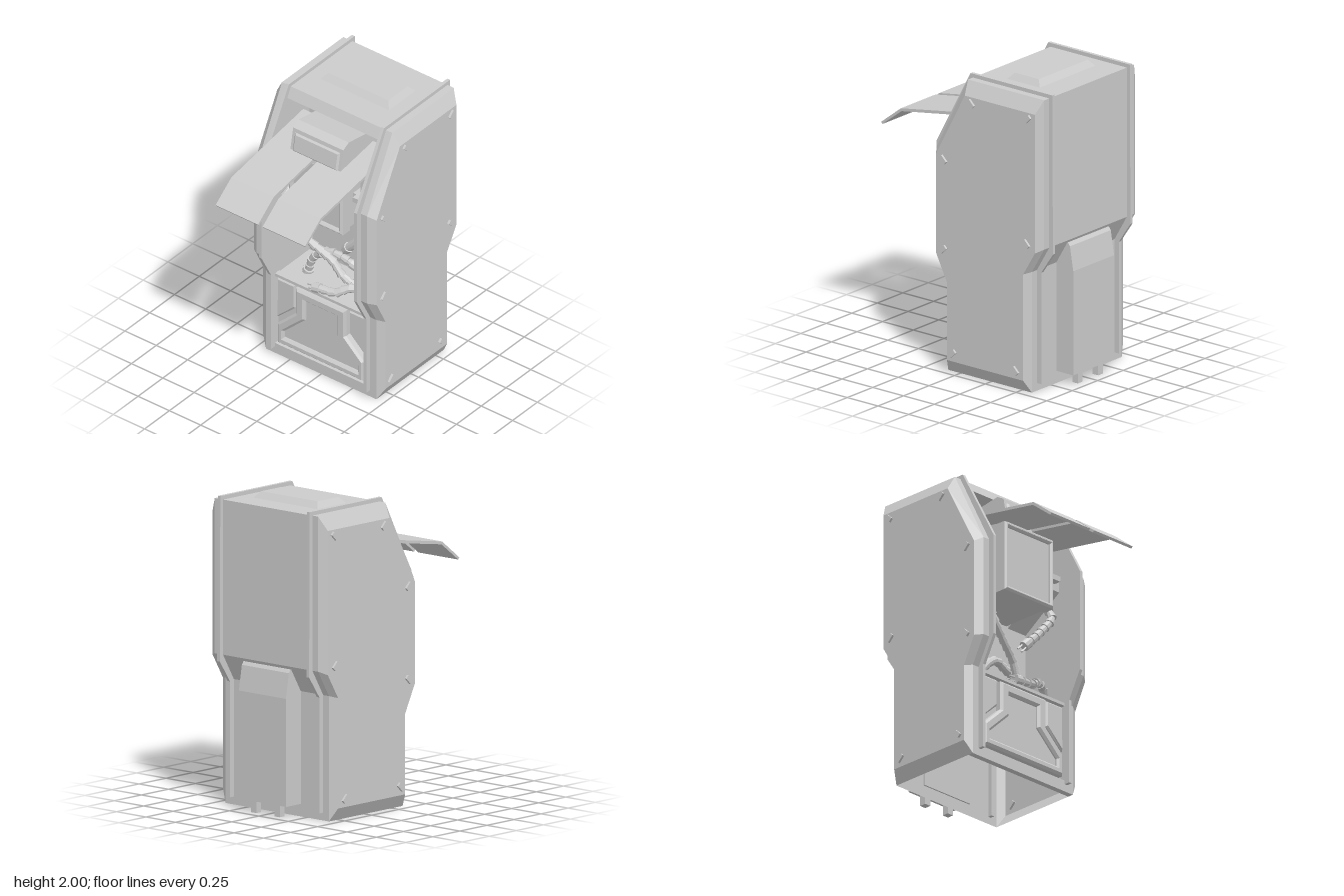
import * as THREE from 'three';

// Side outlines as [z, y], from the front foot up and round to the back foot
const BODY = [[0.10, 0], [0.10, 0.61], [0.195, 0.79], [0.195, 1.46], [-0.06, 1.96], [-0.68, 1.96], [-0.68, 0.97], [-0.58, 0.8], [-0.58, 0]];
const FACE = [[0.07, 0.085], [0.07, 0.6], [0.16, 0.78], [0.16, 1.43], [-0.075, 1.87], [-0.645, 1.87], [-0.645, 0.95], [-0.55, 0.79], [-0.55, 0.085]];
const RAIL = [[0.14, 0.05], [0.14, 0.62], [0.235, 0.8], [0.235, 1.48], [-0.04, 1.985], [-0.705, 1.985], [-0.71, 0.93], [-0.615, 0.79], [-0.615, 0.05]];
const BACK_Z = -0.25, WALL_X = 0.37;

const solid = new THREE.MeshStandardMaterial({ color: 0xcccccc, flatShading: true });
const shell = new THREE.MeshStandardMaterial({ color: 0xcccccc, flatShading: true, side: THREE.DoubleSide });

const toShape = pts => new THREE.Shape(pts.map(p => new THREE.Vector2(p[0], p[1])));
const mirrorX = pts => pts.map(([x, y]) => [-x, y]).reverse();

export function createModel() {
  const root = new THREE.Group();
  root.name = 'cabinet';

  function add(name, geo, mat = solid, parent = root) {
    const m = new THREE.Mesh(geo, mat);
    m.name = name;
    parent.add(m);
    return m;
  }
  function box(name, x0, x1, y0, y1, z0, z1) {
    const m = add(name, new THREE.BoxGeometry(x1 - x0, y1 - y0, z1 - z0));
    m.position.set((x0 + x1) / 2, (y0 + y1) / 2, (z0 + z1) / 2);
    return m;
  }
  // Side outline [z, y] extruded across x
  function prism(name, pts, x0, x1) {
    const g = new THREE.ExtrudeGeometry(toShape(pts), { depth: x1 - x0, bevelEnabled: false });
    g.rotateY(-Math.PI / 2).translate(x1, 0, 0);
    return add(name, g);
  }
  // Front outline [x, y] extruded towards +z with an optional bevel and hole
  function plate(name, pts, z0, z1, bevel = 0, hole = null) {
    const s = toShape(pts);
    if (hole) s.holes.push(toShape(hole));
    const g = new THREE.ExtrudeGeometry(s, {
      depth: z1 - z0 - bevel, bevelEnabled: bevel > 0, bevelSize: bevel,
      bevelThickness: bevel, bevelOffset: -bevel, bevelSegments: 1
    });
    return add(name, g.translate(0, 0, z0), solid);
  }
  // Skin between two [z, y] paths lying at xa and xb
  function skin(name, a, xa, b, xb, closed = false) {
    const pos = [];
    const n = a.length;
    for (let i = 0; i < (closed ? n : n - 1); i++) {
      const j = (i + 1) % n;
      const A = [xa, a[i][1], a[i][0]], B = [xa, a[j][1], a[j][0]];
      const C = [xb, b[j][1], b[j][0]], D = [xb, b[i][1], b[i][0]];
      pos.push(...A, ...C, ...B, ...A, ...D, ...C);
    }
    const g = new THREE.BufferGeometry();
    g.setAttribute('position', new THREE.Float32BufferAttribute(pos, 3));
    g.computeVertexNormals();
    return add(name, g, shell);
  }
  const flat = (name, pts, x) =>
    add(name, new THREE.ShapeGeometry(toShape(pts)).rotateY(-Math.PI / 2).translate(x, 0, 0), shell);
  const rect = (x, y0, y1) => [[-x, y0], [x, y0], [x, y1], [-x, y1]];

  // Outer shell: top and back, then the sloping lip and the cavity lining
  const topBack = BODY.slice(4);
  skin('topAndBack', topBack, -0.44, topBack, 0.44);
  const lining = [[-0.06, 1.96], [-0.025, 1.89], [BACK_Z, 1.83], [BACK_Z, 0.6], [0.10, 0.6]];
  skin('cavityLining', lining, -WALL_X, lining, WALL_X);

  // Bolts: z, y, tilt
  const bolts = [[-0.13, 1.83, -1], [-0.59, 1.83, 1], [0.095, 1.41, -1], [-0.58, 1.0, -1], [0.095, 0.815, 1], [0.02, 0.14, 1], [-0.49, 0.14, -1]];

  for (const s of [-1, 1]) {
    // Bevelled side panels, front edges and inner walls
    skin('sideBevel', BODY, s * 0.44, FACE, s * 0.49, true);
    flat('sidePanel', FACE, s * 0.49);
    const edge = BODY.slice(0, 5);
    skin('frontEdge', edge, s * WALL_X, edge, s * 0.44);
    flat('cavityWall', [...BODY.slice(1, 5), [BACK_Z, 1.96], [BACK_Z, 0.6]], s * WALL_X);

    // Raised rail running over front, top and back
    const inner = FACE.map(([z, y], i) => [z, i === 0 || i === 8 ? 0.05 : y]).reverse();
    const rx = s * 0.38;
    prism('rail', [...RAIL, ...inner], rx - 0.011, rx + 0.011);

    for (const [z, y, t] of bolts) {
      const b = add('bolt', new THREE.BoxGeometry(0.03, 0.028, 0.055));
      b.position.set(s * 0.49, y, z);
      b.rotation.x = t * Math.PI / 4;
    }

    // Folded canopy flap
    const f0 = s > 0 ? 0.018 : -0.357;
    prism('canopyFlap', [[-0.17, 1.73], [0.11, 1.685], [0.555, 1.61], [0.715, 1.485], [0.705, 1.472], [0.55, 1.592], [0.11, 1.665], [-0.17, 1.71]], f0, f0 + 0.339);

    // Hose socket housing and hinge bracket beside the monitor
    const h0 = s > 0 ? 0.215 : -WALL_X;
    prism('socketHousing', [[BACK_Z, 1.19], [0.05, 1.39], [0.05, 1.46], [BACK_Z, 1.46]], h0, h0 + 0.155);
    box('hingeBracket', s * 0.29 - 0.04, s * 0.29 + 0.04, 1.435, 1.47, 0.03, 0.1);
    box('hingeArm', s * 0.29 - 0.025, s * 0.29 + 0.025, 1.45, 1.68, 0.0, 0.04);

    // Rear feet
    box('rearFoot', s * 0.1 - 0.023, s * 0.1 + 0.023, 0, 0.09, -0.69, -0.645);
  }

  // Raised roof panel
  const roof = add('roofPanel', new THREE.CylinderGeometry(Math.SQRT1_2, Math.SQRT1_2, 0.04, 4, 1).rotateY(Math.PI / 4));
  const rp = roof.geometry.attributes.position;
  for (let i = 0; i < rp.count; i++) {
    const up = rp.getY(i) > 0;
    rp.setX(i, Math.sign(rp.getX(i)) * (Math.abs(rp.getX(i)) < 0.01 ? 0 : up ? 0.24 : 0.272));
    rp.setZ(i, Math.sign(rp.getZ(i)) * (Math.abs(rp.getZ(i)) < 0.01 ? 0 : up ? 0.097 : 0.133));
  }
  roof.geometry.computeVertexNormals();
  roof.position.set(0, 1.98, -0.372);

  // Rear duct
  prism('rearDuct', [[-0.57, 0.08], [-0.57, 0.95], [-0.675, 0.95], [-0.69, 0.93], [-0.717, 0.77], [-0.717, 0.08]], -0.2, 0.2);

  // Lower front: frame, recessed backing, stepped plate and corner pads
  plate('lowerFrame', rect(0.44, 0, 0.61), 0.06, 0.10, 0, rect(0.37, 0.075, 0.59));
  box('lowerBacking', -0.44, 0.44, 0.02, 0.6, 0.045, 0.062);
  const stepped = (w, n, y0, y1, y2, y3) => [[-w, y0], [w, y0], [w, y1], [n, y2], [n, y3], [-n, y3], [-n, y2], [-w, y1]];
  plate('lowerPlate', stepped(0.345, 0.2, 0.095, 0.245, 0.38, 0.575), 0.06, 0.115, 0.015,
    stepped(0.295, 0.125, 0.15, 0.2, 0.36, 0.505));
  plate('lowerPlateInset', stepped(0.3, 0.13, 0.145, 0.205, 0.365, 0.51), 0.06, 0.09);
  const pad = [[0.215, 0.405], [0.36, 0.275], [0.36, 0.58], [0.215, 0.58]];
  plate('cornerPad', pad, 0.06, 0.095, 0.012);
  plate('cornerPad', mirrorX(pad), 0.06, 0.095, 0.012);

  // Monitor below the flaps and its angled head above them
  box('monitorBody', -0.2, 0.2, 1.2, 1.66, BACK_Z, 0.14);
  plate('monitorFrame', rect(0.215, 1.19, 1.66), 0.08, 0.165, 0.012, rect(0.185, 1.22, 1.63));
  prism('monitorHead', [[BACK_Z, 1.64], [0.165, 1.64], [0.13, 1.825], [0.075, 1.855], [BACK_Z, 1.8]], -0.2, 0.2);
  const visor = plate('headPanel', rect(0.18, -0.065, 0.065), 0, 0.014, 0.012);
  visor.position.set(0, 1.735, 0.145);
  visor.rotation.x = -0.19;

  // Ribbed hoses: tapered rings along a curve, optional plug and prongs
  const up = new THREE.Vector3(0, 1, 0);
  function hose(name, pts, prongs) {
    const g = new THREE.Group();
    g.name = name;
    root.add(g);
    const curve = new THREE.CatmullRomCurve3(pts.map(p => new THREE.Vector3(...p)));
    const n = Math.round(curve.getLength() / 0.05);
    const put = (part, geo, p, dir) => {
      const m = add(part, geo, solid, g);
      m.position.copy(p);
      m.quaternion.setFromUnitVectors(up, dir);
      return m;
    };
    const ring = new THREE.CylinderGeometry(0.031, 0.022, 0.054, 10);
    for (let i = 0; i < n; i++) {
      const t = (i + 0.5) / n;
      put('hoseRing', ring, curve.getPointAt(t), curve.getTangentAt(t));
    }
    const end = curve.getPointAt(1), dir = curve.getTangentAt(1);
    put('hosePlug', new THREE.CylinderGeometry(0.034, 0.034, 0.05, 10), end, dir);
    put('hoseCollar', new THREE.CylinderGeometry(0.036, 0.036, 0.03, 10), curve.getPointAt(0), curve.getTangentAt(0));
    if (prongs) for (const k of [-1, 1]) {
      const m = put('plugProng', new THREE.BoxGeometry(0.01, 0.05, 0.012), end, dir);
      m.translateY(0.045);
      m.translateX(k * 0.015);
    }
  }
  hose('longHose', [[-0.27, 1.32, -0.03], [-0.31, 1.2, 0.08], [-0.25, 1.03, 0.08], [-0.12, 0.92, 0.04], [0.01, 0.82, 0], [0.07, 0.73, -0.02], [0.15, 0.67, -0.04]], false);
  hose('upperHose', [[0.28, 1.32, -0.03], [0.31, 1.2, 0.04], [0.23, 1.08, 0.03], [0.13, 0.97, 0]], true);
  hose('archedHose', [[-0.23, 0.61, -0.06], [-0.19, 0.72, -0.06], [-0.08, 0.81, -0.07], [0.02, 0.8, -0.09], [0.11, 0.77, -0.1]], false);
  hose('floorHose', [[0.32, 0.62, -0.02], [0.28, 0.7, 0], [0.19, 0.71, 0.04], [0.1, 0.66, 0.08], [-0.04, 0.64, 0.09]], true);

  return root;
}
